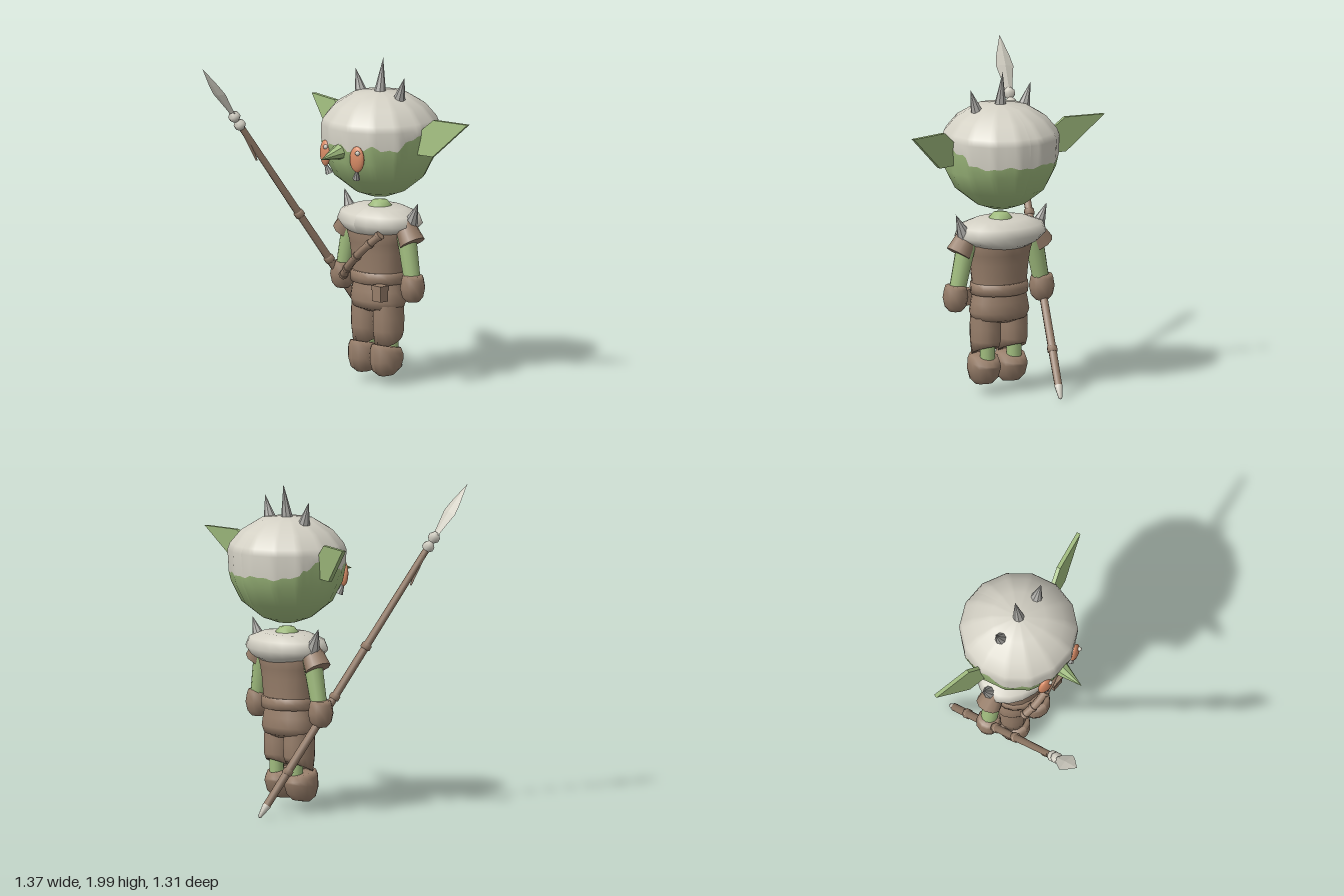
import * as THREE from 'three';

const mat = (name, color, side = THREE.FrontSide) => {
  const m = new THREE.MeshStandardMaterial({ color, side });
  m.name = name;
  return m;
};
const V = (x, y, z) => new THREE.Vector3(x, y, z);
const UP = V(0, 1, 0);
const ZC = -0.28; // body axis depth

export function createModel() {
  const model = new THREE.Group();
  const green = mat('greenSkin', 0xa0bc7e);
  const brown = mat('brownLeather', 0x977e6a);
  const pale = mat('paleFur', 0xd3d0c4);
  const metal = mat('greySpike', 0xa9a8a4);
  const orange = mat('orangeEye', 0xd98c66);

  const add = (name, geo, material, parent = model) => {
    const m = new THREE.Mesh(geo, material);
    m.name = name;
    parent.add(m);
    return m;
  };
  // lathe from [radius, height] pairs, bottom to top
  const lathe = (pts, seg = 16) =>
    new THREE.LatheGeometry(pts.map(p => new THREE.Vector2(p[0], p[1])), seg);
  // tapered rod between two points
  const rod = (name, a, b, r0, r1, material, seg = 10, parent = model) => {
    const d = b.clone().sub(a);
    const m = add(name, new THREE.CylinderGeometry(r1, r0, d.length(), seg), material, parent);
    m.position.copy(a).add(b).multiplyScalar(0.5);
    m.quaternion.setFromUnitVectors(UP, d.normalize());
    return m;
  };
  const spike = (name, a, b, r, material = metal) => {
    const m = rod(name, a, b, r, 0, material, 8);
    const g = m.geometry.toNonIndexed();
    g.computeVertexNormals();
    m.geometry = g;
  };
  const reshape = (geo, rule) => {
    const p = geo.attributes.position;
    const v = V();
    for (let i = 0; i < p.count; i++) {
      rule(v.fromBufferAttribute(p, i));
      p.setXYZ(i, v.x, v.y, v.z);
    }
    geo.computeVertexNormals();
    return geo;
  };

  // head: one outline, split into face and fur cap along a ragged line
  const outline = [[0, 1.155], [0.06, 1.156], [0.155, 1.19], [0.275, 1.285], [0.335, 1.405],
    [0.353, 1.48], [0.357, 1.6], [0.342, 1.64], [0.275, 1.72], [0.165, 1.787], [0, 1.803]];
  const radiusAt = y => {
    for (let i = 1; i < outline.length; i++) {
      const [r0, y0] = outline[i - 1], [r1, y1] = outline[i];
      if (y <= y1) return r0 + (r1 - r0) * (y - y0) / (y1 - y0);
    }
    return 0;
  };
  const furLine = a => {
    const k = Math.abs(a);
    const ragged = 0.014 * Math.sin(a * 9 + 1.9) + 0.011 * Math.sin(a * 21);
    const nearEar = 0.07 * Math.exp(-(((k - 1.6) / 0.3) ** 2));
    return 1.5 + ragged * (k > 2 ? 0.5 : 1) + nearEar - (k > 2 ? 0.035 : 0);
  };
  const SIDES = 14, step = 2 * Math.PI / SIDES;
  const headPart = heights => {
    const g = new THREE.LatheGeometry(heights.map((h, i) => new THREE.Vector2(1, i)), SIDES * 6, Math.PI);
    return reshape(g, v => {
      const a = Math.atan2(v.x, v.z);
      const h = heights[Math.round(v.y)];
      const y = h === null ? furLine(a) : h;
      const t = ((a + step / 2) % step + step) % step;
      const r = radiusAt(y) * 1.01 * Math.cos(step / 2) / Math.cos(t - step / 2);
      v.set(Math.sin(a) * r, y, Math.cos(a) * r + ZC);
    });
  };
  add('face', headPart([1.155, 1.156, 1.19, 1.285, 1.405, null]), green);
  add('furCap', headPart([null, 1.6, 1.64, 1.72, 1.787, 1.803]), pale);
  spike('nose', V(0, 1.475, 0.03), V(0, 1.44, 0.217), 0.058, green);
  spike('headSpikeMiddle', V(0, 1.76, -0.275), V(0, 2, -0.307), 0.042);

  // ears, eyes, fangs and outer head spikes
  for (const s of [-1, 1]) {
    const side = s > 0 ? 'left' : 'right';
    const ear = new THREE.Shape([[-0.03, 1.6], [0.01, 1.6], [0.1, 1.675], [0.355, 1.675], [0.115, 1.455], [-0.03, 1.455]]
      .map(p => new THREE.Vector2(p[0] * s, p[1])));
    const earMesh = add(side + 'Ear', reshape(new THREE.ExtrudeGeometry(ear, { depth: 0.024, bevelEnabled: false }),
      v => { v.z -= 0.02 + (v.y - 1.455) * 0.12; }), green);
    earMesh.position.set(s * 0.34, 0, ZC + 0.01);
    earMesh.rotation.y = s * 0.19;

    const eye = add(side + 'Eye', new THREE.SphereGeometry(1, 16, 12), orange);
    eye.scale.set(0.05, 0.08, 0.024);
    eye.position.set(s * 0.14, 1.44, 0.045);
    eye.rotation.y = s * 0.25;
    const glint = add(side + 'EyeGlint', new THREE.SphereGeometry(0.015, 8, 6), pale);
    glint.position.set(s * 0.14 + 0.024, 1.483, 0.064);
    spike(side + 'Fang', V(s * 0.118, 1.315, 0.03), V(s * 0.148, 1.395, 0.05), 0.024);
    spike(side + 'HeadSpike', V(s * 0.16, 1.745, ZC), V(s * 0.215, 1.91, ZC), 0.045);
  }

  // neck and fur collar
  const neck = add('neck', lathe([[0.09, 1], [0.075, 1.09], [0.045, 1.125], [0, 1.132]]), green);
  neck.position.z = ZC;
  const collar = add('furCollar', reshape(
    lathe([[0.06, 0.91], [0.17, 0.91], [0.26, 0.945], [0.3, 1.0], [0.275, 1.055], [0.18, 1.09], [0.06, 1.095]], 20),
    v => {
      if (v.y < 0.98) v.y += 0.4 * v.x * v.x;
      v.z *= 0.73;
    }), pale);
  collar.position.z = ZC;

  // torso, belt and hips
  const trunk = [
    ['tunic', [[0.175, 0.63], [0.178, 0.7], [0.19, 0.82], [0.2, 0.88], [0.22, 0.95], [0.2, 1.01], [0.08, 1.04]]],
    ['belt', [[0.16, 0.63], [0.183, 0.63], [0.186, 0.665], [0.183, 0.7], [0.16, 0.7]]],
    ['hips', [[0, 0.45], [0.1, 0.45], [0.18, 0.475], [0.198, 0.52], [0.188, 0.58], [0.175, 0.64]]],
  ];
  for (const [name, pts] of trunk) {
    const m = add(name, lathe(pts, 18), brown);
    m.scale.z = name === 'belt' ? 0.84 : name === 'hips' ? 0.72 : 0.78;
    m.position.z = -0.265;
  }

  // belt pouch
  const pouch = add('pouch', new THREE.BoxGeometry(0.075, 0.085, 0.06), brown);
  pouch.position.set(0.158, 0.585, -0.13);
  const flap = add('pouchFlap', new THREE.BoxGeometry(0.085, 0.03, 0.07), brown);
  flap.position.set(0.158, 0.625, -0.13);

  // chest strap with bands
  const strap = new THREE.CatmullRomCurve3([V(-0.15, 0.66, -0.115), V(-0.06, 0.745, -0.085),
    V(0.07, 0.86, -0.08), V(0.175, 0.955, -0.115)]);
  add('chestStrap', new THREE.TubeGeometry(strap, 12, 0.025, 8), brown);
  for (const t of [0.02, 0.22, 0.5, 0.78, 0.98]) {
    const p = strap.getPoint(t), d = strap.getTangent(t).multiplyScalar(0.01);
    rod('strapBand', p.clone().sub(d), p.clone().add(d), 0.03, 0.03, brown, 8);
  }

  // arms and legs
  for (const s of [-1, 1]) {
    const side = s > 0 ? 'left' : 'right';
    rod(side + 'Arm', V(s * 0.235, 0.97, -0.272), V(s * 0.302, 0.66, -0.265), 0.06, 0.05, green, 12);
    rod(side + 'Sleeve', V(s * 0.295, 0.9, -0.27), V(s * 0.22, 1.02, -0.27), 0.08, 0.06, brown, 10);
    spike(side + 'ShoulderSpike', V(s * 0.25, 0.99, -0.285), V(s * 0.325, 1.15, -0.29), 0.055);
    const mitt = add(side + 'Mitt', lathe([[0, 0.54], [0.04, 0.545], [0.066, 0.575], [0.078, 0.63],
      [0.07, 0.68], [0.062, 0.705], [0, 0.71]], 12), brown);
    mitt.position.set(s * 0.308, 0, -0.26);

    const leg = new THREE.Group();
    leg.name = side + 'Leg';
    leg.position.set(s * 0.095, 0, -0.26);
    model.add(leg);
    rod(side + 'Calf', V(0, 0.15, -0.025), V(0, 0.4, -0.025), 0.045, 0.045, green, 12, leg);
    // trouser hem lies higher at the back
    add(side + 'Trouser', reshape(
      lathe([[0, 0.27], [0.082, 0.25], [0.092, 0.34], [0.094, 0.42], [0.09, 0.5]], 14), v => {
        if (v.y < 0.3) v.y += 0.025 - v.z * 0.45;
        v.z *= 1.08;
      }), brown, leg);
    // boot leans forward with rounded toes
    const boot = add(side + 'Boot', reshape(
      lathe([[0, 0.055], [0.05, 0.06], [0.085, 0.095], [0.1, 0.155], [0.098, 0.2], [0.085, 0.235], [0, 0.235]], 14), v => {
        v.z *= 1.1;
        if (v.y > 0.18) v.y += v.z * 0.2;
        else v.y -= v.z * 0.12;
        v.z += 0.015;
      }), brown, leg);
    boot.position.y = 0.008;
  }

  // spear, built upright along its own axis and then leaned into place
  const spear = new THREE.Group();
  spear.name = 'spear';
  const foot = V(-0.2, 0.01, -0.65), axis = V(-0.577, 1.98, 0.656).sub(foot);
  const L = axis.length();
  axis.normalize();
  const across = V(1, 0, 0).addScaledVector(axis, -axis.x).normalize();
  spear.quaternion.setFromRotationMatrix(
    new THREE.Matrix4().makeBasis(across, axis, across.clone().cross(axis)));
  spear.position.copy(foot);
  model.add(spear);
  add('spearShaft', lathe([[0.024, 0.09], [0.026, 0.3], [0.024, 1.2], [0.02, 1.97]], 8), brown, spear);
  add('spearButt', lathe([[0, 0], [0.012, 0.01], [0.026, 0.09], [0, 0.1]], 8), pale, spear);
  for (const y of [0.33, 0.87, 1.23])
    add('spearRing', lathe([[0.02, y - 0.022], [0.032, y - 0.015], [0.032, y + 0.015], [0.02, y + 0.022]], 8), brown, spear);
  for (const y of [1.945, 2.01])
    add('spearBinding', lathe([[0.015, y - 0.035], [0.036, y - 0.012], [0.036, y + 0.012], [0.015, y + 0.035]], 8), pale, spear);
  const blade = add('spearBlade', reshape(lathe([[0.026, 2.02], [0.03, 2.06], [0.06, 2.19], [0.045, 2.26], [0, L]], 4)
    .toNonIndexed(), v => { v.z *= 0.2; }), pale, spear);
  blade.position.z = 0;
  // dangling strip below the binding
  rod('spearTassel', V(-0.5, 1.56, 0.375), V(-0.475, 1.38, 0.3), 0.02, 0.006, brown, 5);

  return model;
}
